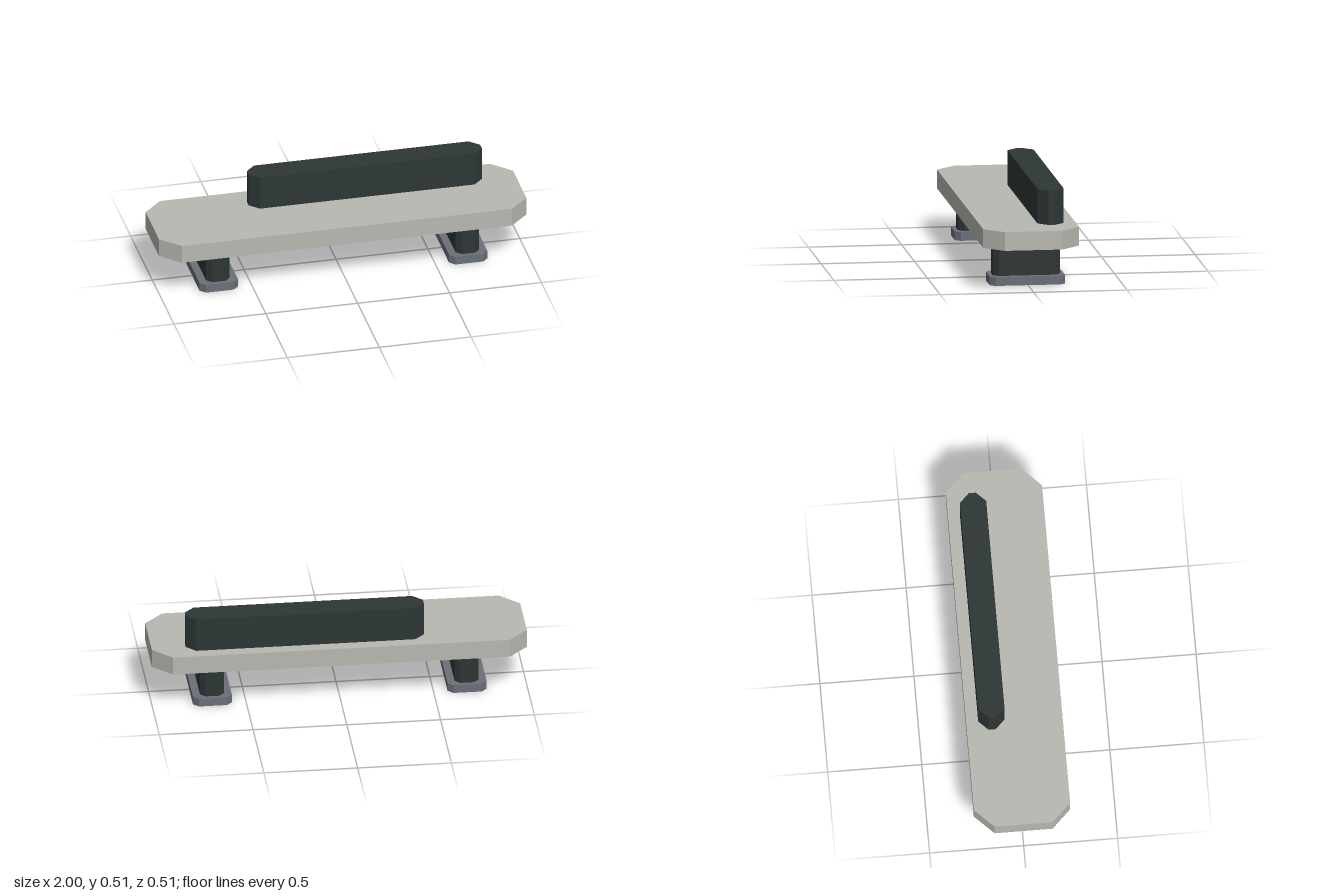
import * as THREE from 'three';

const stone = new THREE.MeshStandardMaterial({ name: 'paleStone', color: 0xb9b9b3 });
const dark = new THREE.MeshStandardMaterial({ name: 'darkSlate', color: 0x2e3736 });
const steel = new THREE.MeshStandardMaterial({ name: 'greySteel', color: 0x6b6f79 });

// Upright block with its four vertical corners cut at 45 degrees
function chamferBlock(name, material, [x0, x1], [y0, y1], [z0, z1], cut) {
  const w = (x1 - x0) / 2, d = (z1 - z0) / 2;
  const shape = new THREE.Shape([
    [w, d - cut], [w - cut, d], [cut - w, d], [-w, d - cut],
    [-w, cut - d], [cut - w, -d], [w - cut, -d], [w, cut - d],
  ].map(([x, y]) => new THREE.Vector2(x, y)));
  const geometry = new THREE.ExtrudeGeometry(shape, { depth: y1 - y0, bevelEnabled: false });
  geometry.rotateX(-Math.PI / 2);
  const mesh = new THREE.Mesh(geometry, material);
  mesh.name = name;
  mesh.position.set((x0 + x1) / 2, y0, (z0 + z1) / 2);
  return mesh;
}

export function createModel() {
  const bench = new THREE.Group();
  bench.name = 'bench';

  // Seat slab and the off-centre backrest
  bench.add(chamferBlock('seat', stone, [-1, 1], [0.227, 0.328], [-0.256, 0.256], 0.102));
  bench.add(chamferBlock('backrest', dark, [-0.452, 0.818], [0.328, 0.514], [-0.192, -0.052], 0.051));

  // A leg on a foot plate at each end
  for (const [side, x] of [['left', 0.679], ['right', -0.679]]) {
    bench.add(chamferBlock(side + 'Leg', dark, [x - 0.064, x + 0.064], [0.046, 0.227], [-0.179, 0.179], 0.028));
    bench.add(chamferBlock(side + 'Foot', steel, [x - 0.104, x + 0.104], [0, 0.046], [-0.202, 0.202], 0.029));
  }
  return bench;
}
